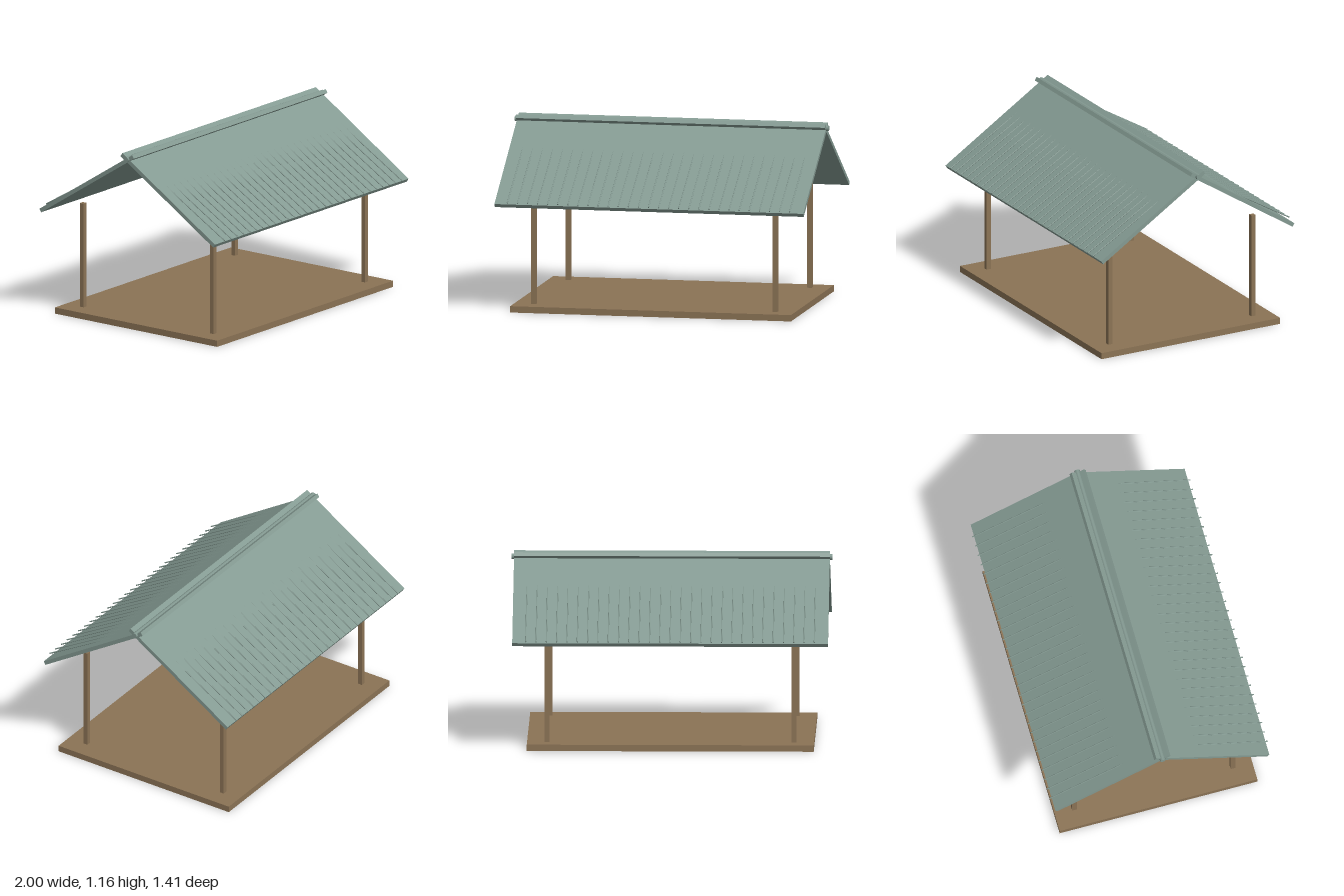
import * as THREE from 'three';

export function createModel() {
  const model = new THREE.Group();
  const wood = new THREE.MeshStandardMaterial({ color: 0x8b7355 });
  wood.name = 'wood';
  const metal = new THREE.MeshStandardMaterial({ color: 0x849a92 });
  metal.name = 'roofMetal';

  const add = (parent, name, geometry, material, x = 0, y = 0, z = 0) => {
    const mesh = new THREE.Mesh(geometry, material);
    mesh.name = name;
    mesh.position.set(x, y, z);
    parent.add(mesh);
    return mesh;
  };

  // Floor platform
  add(model, 'floor', new THREE.BoxGeometry(1.79, 0.04, 1.28), wood, 0, 0.02, 0);

  // Corner posts, stopping short of the roof
  const postGeo = new THREE.BoxGeometry(0.03, 0.67, 0.03);
  for (const sx of [-1, 1]) {
    for (const sz of [-1, 1]) {
      add(model, 'post', postGeo, wood, sx * 0.77, 0.375, sz * 0.513);
    }
  }

  // Two roof slopes that cross at the ridge, each with a row of thin ribs
  const slabGeo = new THREE.BoxGeometry(1.97, 0.025, 0.869);
  const ribLow = new THREE.Vector2(0.704, 0.7); // z, y at the eave
  const ribHigh = new THREE.Vector2(0.1, 1.058); // buried inside the slab
  const ribMid = ribLow.clone().add(ribHigh).multiplyScalar(0.5);
  const ribPitch = Math.atan2(ribHigh.y - ribLow.y, ribLow.x - ribHigh.x);
  const ribGeo = new THREE.CylinderGeometry(0.004, 0.004, ribLow.distanceTo(ribHigh), 8);
  ribGeo.rotateX(Math.PI / 2);
  const ribCount = 29;
  for (const side of [0, 1]) {
    const slope = new THREE.Group();
    slope.name = side ? 'backRoof' : 'frontRoof';
    slope.rotation.y = side * Math.PI;
    add(slope, 'roofPanel', slabGeo, metal, 0, 0.913, 0.32).rotation.x = 0.57;
    for (let i = 0; i < ribCount; i++) {
      const x = -0.9 + (1.8 * i) / (ribCount - 1);
      add(slope, 'roofRib', ribGeo, metal, x, ribMid.y, ribMid.x).rotation.x = ribPitch;
    }
    model.add(slope);
  }

  // Ridge pole
  const ridgeGeo = new THREE.CylinderGeometry(0.018, 0.018, 2, 8);
  ridgeGeo.rotateZ(Math.PI / 2);
  add(model, 'ridgePole', ridgeGeo, metal, 0, 1.127, 0);

  return model;
}
